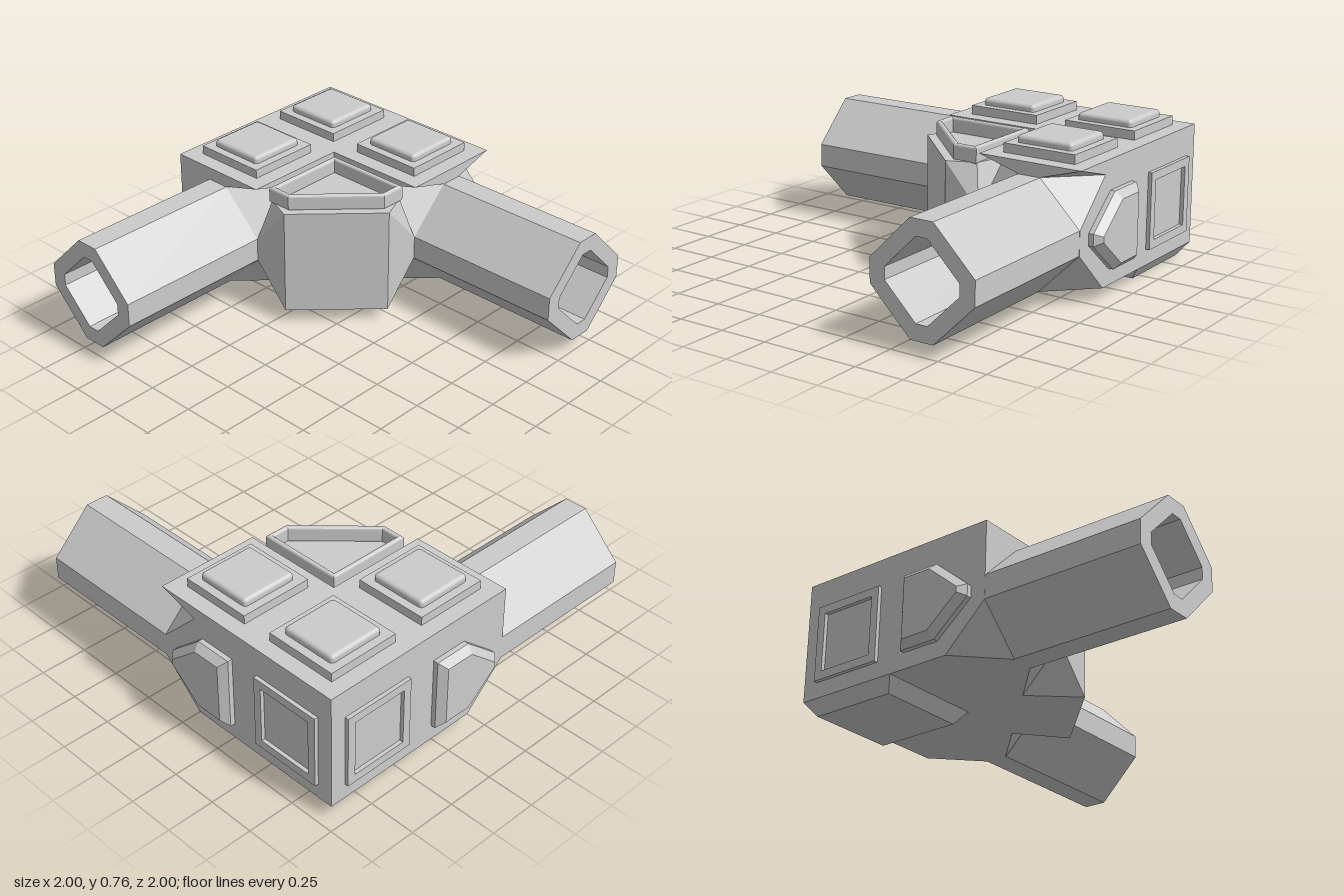
import * as THREE from 'three';
import { ConvexGeometry } from 'three/addons/geometries/ConvexGeometry.js';
import { RoundedBoxGeometry } from 'three/addons/geometries/RoundedBoxGeometry.js';

const grey = new THREE.MeshStandardMaterial({ color: 0xcccccc, flatShading: true });
const smooth = new THREE.MeshStandardMaterial({ color: 0xcccccc });

// Main levels: outer side, inner side, arm end, start of the chamfers, pipe axis
const OUT = -0.94, IN = -0.39, END = 0.16, CUT = -0.06, MID = -0.665;
const LOW = 0.067, DECK = 0.615, TOP = 0.68, AXIS = 0.341;

export function createModel() {
  const model = new THREE.Group();

  const add = (name, geometry, material = grey) => {
    const mesh = new THREE.Mesh(geometry, material);
    mesh.name = name;
    model.add(mesh);
    return mesh;
  };
  // Convex block; swapping x and z gives the matching part on the other arm
  const hull = (name, points, swap = false) =>
    add(name, new ConvexGeometry(points.map(([x, y, z]) =>
      swap ? new THREE.Vector3(z, y, x) : new THREE.Vector3(x, y, z))));
  const shapeOf = (pts) => new THREE.Shape(pts.map(([x, y]) => new THREE.Vector2(x, y)));
  const octagon = (r, f) => [[r, f], [f, r], [-f, r], [-r, f], [-r, -f], [-f, -r], [f, -r], [r, -f]];
  const square = (r) => [[-r, -r], [r, -r], [r, r], [-r, r]];
  const extrude = (pts, hole, depth, bevel = 0, segments = 1) => {
    const shape = shapeOf(pts);
    if (hole) shape.holes.push(shapeOf(hole));
    return new THREE.ExtrudeGeometry(shape, {
      depth, bevelEnabled: bevel > 0, bevelSize: bevel, bevelThickness: bevel,
      bevelOffset: -bevel, bevelSegments: segments,
    });
  };

  // Corner block and tapered belly
  hull('cornerBlock', [OUT, IN].flatMap((x) => [OUT, IN].flatMap((z) => [[x, LOW, z], [x, TOP, z]])));
  const belly = [];
  for (const sx of [-1, 1]) for (const sz of [-1, 1]) {
    belly.push([MID + sx * 0.275, LOW, MID + sz * 0.275], [MID + sx * 0.225, 0, MID + sz * 0.225]);
  }
  hull('belly', belly);

  for (const swap of [false, true]) {
    const side = swap ? 'left' : 'front';
    // Arm body, chamfered down to the pipe's octagon
    const ring = [
      [OUT, 0.4, END], [OUT, 0.28, END], [-0.72, LOW, END], [-0.61, LOW, END],
      [IN, 0.28, END], [IN, 0.4, END], [-0.61, DECK, END], [-0.72, DECK, END],
    ];
    const deck = [[OUT, IN], [IN, IN], [IN, CUT], [-0.61, END], [-0.72, END], [OUT, CUT]];
    if (!swap) deck.push([OUT, END]);
    const deckPoints = deck.map(([x, z]) => [x, DECK, z]);
    hull(side + 'ArmBody', [...ring, ...deckPoints,
      [OUT, LOW, IN], [IN, LOW, IN], [OUT, LOW, CUT], [IN, LOW, CUT]], swap);
    // Overhanging cap with pointed corners
    hull(side + 'ArmCap', [...deckPoints,
      [OUT, TOP, IN], [IN, TOP, IN], [OUT, TOP, END], [IN, TOP, END]], swap);

    // Hollow eight-sided pipe
    const pipe = add(side + 'Pipe', extrude(octagon(0.274, 0.06), octagon(0.195, 0.03), 1 - END));
    pipe.position.set(swap ? END : MID, AXIS, swap ? MID : END);
    if (swap) pipe.rotation.y = Math.PI / 2;

    // Bevelled hatch and square frame on the outer wall
    const face = (mesh, out) => {
      if (swap) mesh.position.set(OUT - out, 0, 0);
      else mesh.position.set(0, 0, OUT - out);
      mesh.rotation.y = swap ? -Math.PI / 2 : Math.PI;
    };
    const m = swap ? 1 : -1;
    const hatch = [[-0.31, 0.15], [-0.11, 0.15], [0.08, 0.31], [0.08, 0.37], [-0.11, 0.53], [-0.31, 0.53]]
      .map(([u, y]) => [u * m, y]);
    face(add(side + 'WallHatchBase', extrude(hatch, null, 0.045)), -0.02);
    face(add(side + 'WallHatch', extrude(hatch, null, 0.01, 0.035)), -0.02 + 0.035);
    const at = (pts) => pts.map(([u, y]) => [u + MID * m, y + AXIS]);
    face(add(side + 'WallFrame', extrude(at(square(0.193)), at(square(0.15)), 0.03)), -0.01);
  }

  // Wedge bridging the two arms
  const wedge = [[IN, LOW, IN], [IN, DECK, IN]];
  for (const s of [false, true]) {
    const half = [[IN, DECK, CUT], [-0.34, DECK, 0.1], [-0.2, DECK, END], [-0.2, LOW, END],
      [IN, LOW, CUT], [IN, 0.28, END], [IN, 0.4, END]];
    wedge.push(...half.map(([x, y, z]) => (s ? [z, y, x] : [x, y, z])));
  }
  hull('bridgeWedge', wedge);

  // Rounded rim on the wedge
  const rim = extrude(
    [[-0.345, -0.345], [0.115, -0.345], [0.115, -0.215], [-0.215, 0.115], [-0.345, 0.115]],
    [[-0.318, -0.318], [0.088, -0.318], [0.088, -0.228], [-0.228, 0.088], [-0.318, 0.088]],
    0.06, 0.012, 3);
  rim.rotateX(Math.PI / 2);
  add('wedgeRim', rim, smooth).position.y = 0.68;

  // Three raised pads on the top
  for (const [x, z] of [[MID, MID], [-0.115, MID], [MID, -0.115]]) {
    add('padPlate', new THREE.BoxGeometry(0.386, 0.065, 0.386)).position.set(x, 0.693, z);
    add('pad', new RoundedBoxGeometry(0.3, 0.08, 0.3, 3, 0.02), smooth).position.set(x, 0.722, z);
  }
  return model;
}
